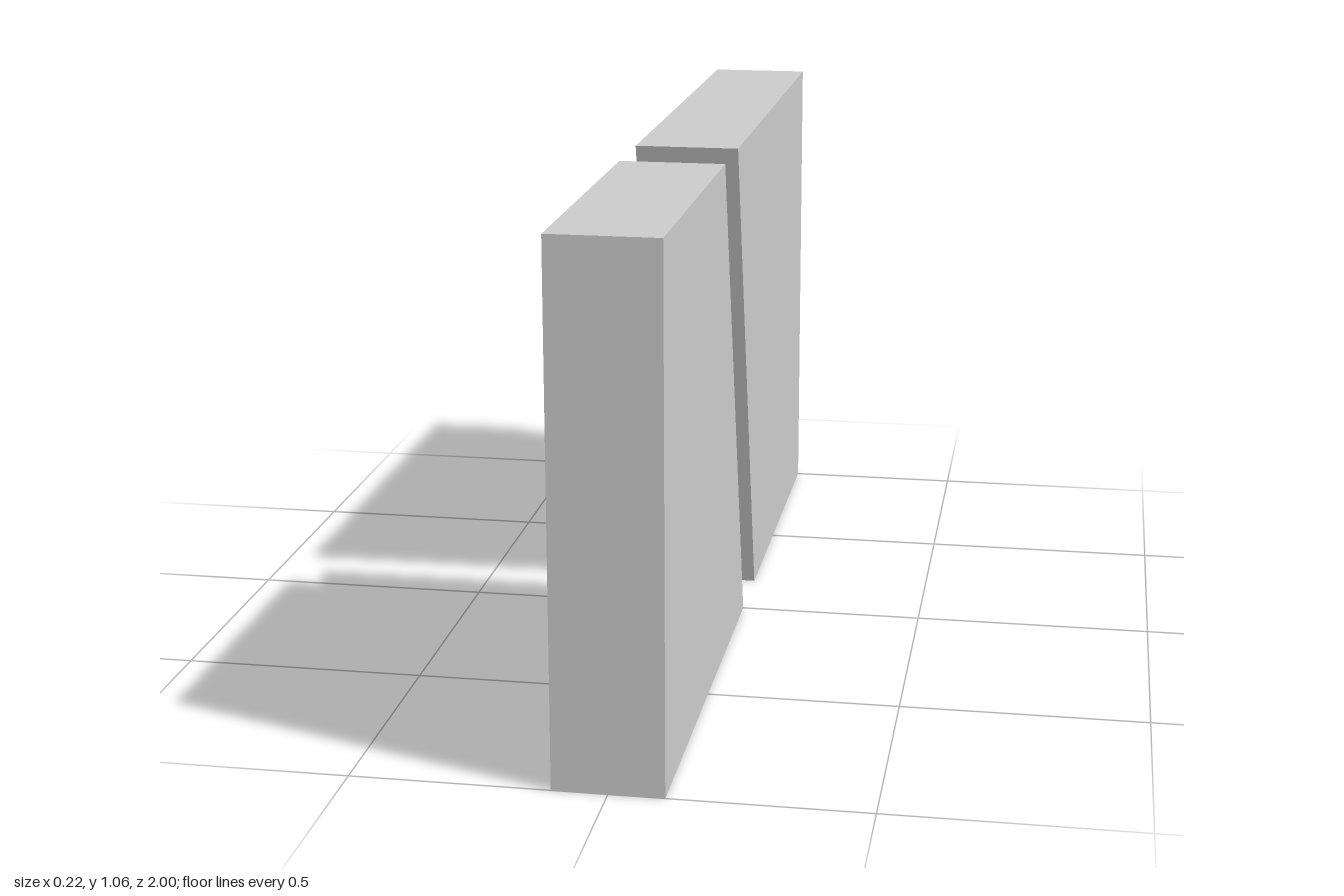
import * as THREE from 'three';

const W = 0.217, H = 1.06;            // thickness and height of both blocks
const FRONT_Z = 0, BACK_Z = -0.177;   // where each slanted face meets the ground
const RUN = 0.289;                    // how far the slanted faces lean forward
const TILT = Math.atan2(RUN, H);
const S = Math.hypot(RUN, H);         // length of a slanted face
const DEPTH = 0.081;                  // tongue height and groove depth
const INNER = 0.022, OUTER = 0.067, MARGIN = 0.045;

const material = new THREE.MeshStandardMaterial({ color: 0xcccccc, flatShading: true });

function addMesh(parent, name, geometry) {
  const mesh = new THREE.Mesh(geometry, material);
  mesh.name = name;
  parent.add(mesh);
  return mesh;
}

const outline = (points) => points.map(([x, y]) => new THREE.Vector2(x, y));

// Block from a side profile given as [z, y] points, extruded across the thickness
function block(points) {
  const g = new THREE.ExtrudeGeometry(new THREE.Shape(outline(points)), { depth: W, bevelEnabled: false });
  return g.rotateY(-Math.PI / 2).translate(W / 2, 0, 0);
}

// Long slat with mitred ends, longer on its outer edge; side is +1 or -1
function slatPoints(side) {
  const miter = OUTER - INNER;
  return outline([
    [side * OUTER, MARGIN], [side * OUTER, S - MARGIN],
    [side * INNER, S - MARGIN - miter], [side * INNER, MARGIN + miter],
  ]);
}

// Extrude a shape drawn on the slanted face, so that it ends at local z = 0
function raise(shape, depth) {
  return new THREE.ExtrudeGeometry(shape, { depth, bevelEnabled: false }).translate(0, 0, -depth);
}

export function createModel() {
  const model = new THREE.Group();

  // Front half with two tongues standing off its slanted face
  const front = new THREE.Group();
  front.name = 'frontHalf';
  addMesh(front, 'frontBlock', block([[FRONT_Z, 0], [1, 0], [1, H], [FRONT_Z + RUN, H]]));
  for (const side of [1, -1]) {
    const tongue = addMesh(front, side > 0 ? 'leftTongue' : 'rightTongue',
      raise(new THREE.Shape(slatPoints(side)), DEPTH));
    tongue.rotation.x = TILT;
    tongue.position.z = FRONT_Z;
  }
  model.add(front);

  // Back half: solid body behind a slanted layer pierced by two grooves
  const back = new THREE.Group();
  back.name = 'backHalf';
  const floorZ = BACK_Z - DEPTH / Math.cos(TILT);
  addMesh(back, 'backBlock', block([[-1, 0], [floorZ, 0], [floorZ + RUN, H], [-1, H]]));

  const face = new THREE.Shape(outline([[-W / 2, 0], [W / 2, 0], [W / 2, S], [-W / 2, S]]));
  for (const side of [1, -1]) face.holes.push(new THREE.Path(slatPoints(side)));
  const layer = raise(face, DEPTH);
  // Slide the rear border so top and bottom edges stay level after tilting
  const p = layer.attributes.position;
  for (let i = 0; i < p.count; i++) {
    if (Math.abs(p.getX(i)) > OUTER + 0.01) p.setY(i, p.getY(i) + p.getZ(i) * Math.tan(TILT));
  }
  layer.computeVertexNormals();
  const grooved = addMesh(back, 'groovedFace', layer);
  grooved.rotation.x = TILT;
  grooved.position.z = BACK_Z;
  model.add(back);

  return model;
}
